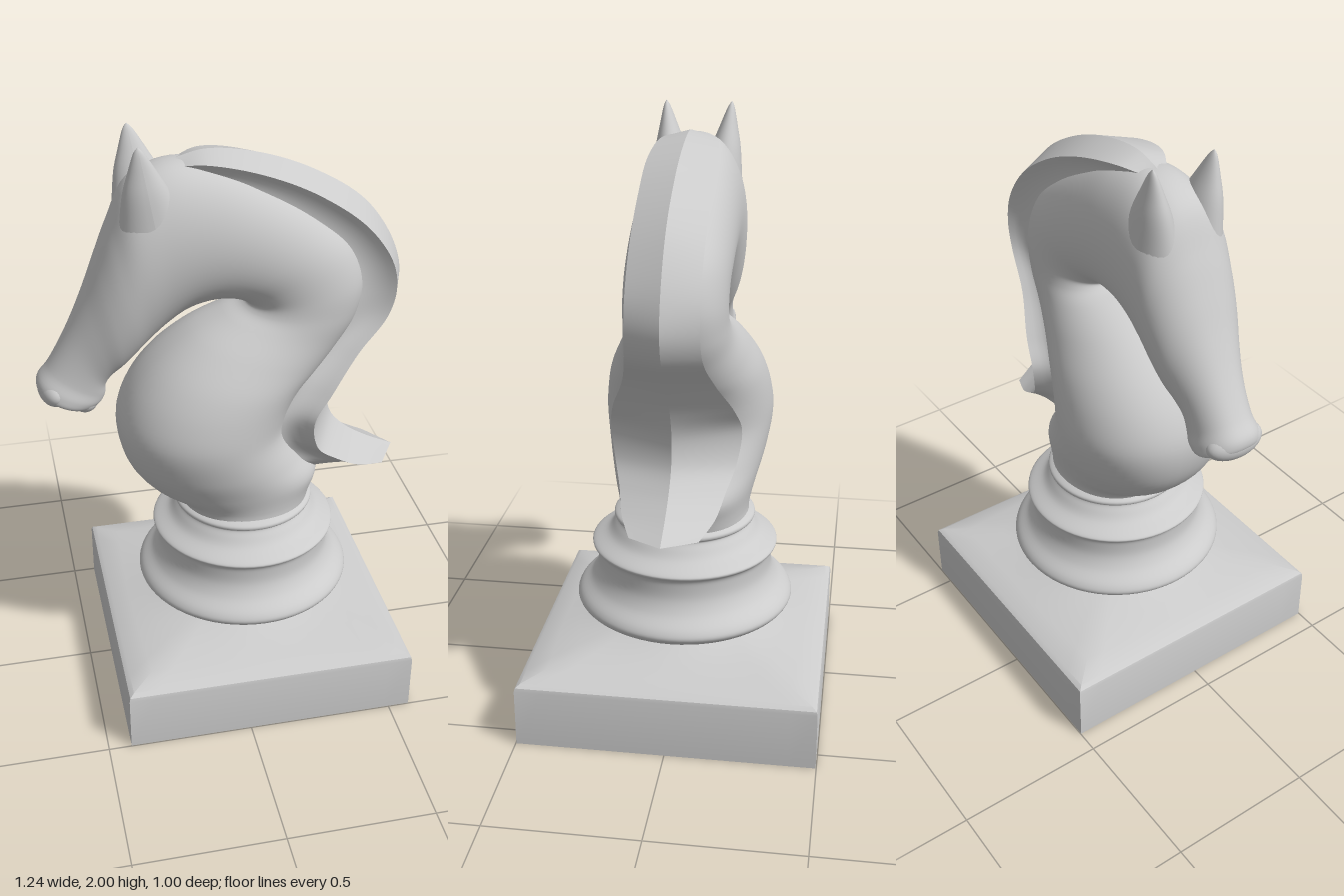
import * as THREE from 'three';
import { toCreasedNormals } from 'three/addons/utils/BufferGeometryUtils.js';

const V = (x, y, z = 0) => new THREE.Vector3(x, y, z);
const material = new THREE.MeshStandardMaterial({ color: 0xcccccc, roughness: 0.6 });
const thin = new THREE.MeshStandardMaterial({ color: 0xcccccc, roughness: 0.6, side: THREE.DoubleSide });
const AXIS = 0.076; // x of the pedestal axis

// Surface through rows of points; closed rows wrap around
function surface(rows, closed) {
  const n = rows[0].length, index = [];
  for (let u = 0; u < rows.length - 1; u++) {
    for (let v = 0; v < (closed ? n : n - 1); v++) {
      const w = (v + 1) % n;
      const a = u * n + v, b = a + n, c = u * n + w, d = c + n;
      index.push(a, b, c, c, b, d);
    }
  }
  const geo = new THREE.BufferGeometry().setFromPoints(rows.flat());
  geo.setIndex(index);
  geo.computeVertexNormals();
  return geo;
}

const curve = (points) => new THREE.CatmullRomCurve3(points);
const ramp = (n, f) => Array.from({ length: n + 1 }, (_, i) => f(i / n));

function add(group, name, geo, mat = material) {
  const mesh = new THREE.Mesh(geo, mat);
  mesh.name = name;
  group.add(mesh);
  return mesh;
}

// Square plinth whose sloping top turns into a circle: [y, radius, roundness]
function plinth() {
  const rings = [[0, 0, 0], [0, 0.498, 0], [0.2, 0.498, 0], [0.212, 0.495, 0], [0.222, 0.48, 0],
    [0.24, 0.42, 0.12], [0.258, 0.36, 0.4], [0.275, 0.305, 0.8], [0.29, 0.27, 1], [0.31, 0.265, 1]];
  const rows = rings.map(([y, r, k]) => Array.from({ length: 64 }, (_, i) => {
    const a = i / 64 * Math.PI * 2, c = Math.cos(a), s = Math.sin(a);
    const q = r * (k + (1 - k) / Math.max(Math.abs(c), Math.abs(s)));
    return V(AXIS + q * c, y, q * s);
  }));
  return toCreasedNormals(surface(rows, true), 0.55);
}

// Turned rings between the plinth and the bust
function pedestal() {
  const profile = [[0.265, 0.28], [0.275, 0.305], [0.335, 0.325], [0.372, 0.355], [0.365, 0.385],
    [0.325, 0.425], [0.303, 0.47], [0.3, 0.52], [0.305, 0.542], [0.318, 0.555], [0.312, 0.568],
    [0.265, 0.595], [0.24, 0.625], [0.228, 0.645], [0.24, 0.655], [0.24, 0.668], [0.222, 0.68], [0.2, 0.69]];
  const spline = new THREE.SplineCurve(profile.map(([r, y]) => new THREE.Vector2(r, y)));
  return new THREE.LatheGeometry(spline.getPoints(90), 64).translate(AXIS, 0, 0);
}

// Chest, neck and head: [throat x, throat y, back x, back y, half width]
function body() {
  const s = [
    [-0.14, 0.66, 0.295, 0.66, 0.222], [-0.165, 0.70, 0.31, 0.71, 0.222], [-0.265, 0.77, 0.33, 0.775, 0.238],
    [-0.335, 0.87, 0.27, 0.86, 0.265], [-0.36, 1.0, 0.21, 0.97, 0.285], [-0.33, 1.11, 0.225, 1.05, 0.278],
    [-0.25, 1.225, 0.265, 1.12, 0.255], [-0.12, 1.33, 0.325, 1.18, 0.215], [0.0, 1.385, 0.39, 1.26, 0.182],
    [0.06, 1.405, 0.45, 1.36, 0.168], [0.075, 1.42, 0.47, 1.48, 0.165], [0.05, 1.437, 0.425, 1.61, 0.165],
    [0.0, 1.45, 0.315, 1.715, 0.167], [-0.06, 1.445, 0.14, 1.83, 0.168], [-0.13, 1.42, -0.02, 1.9, 0.168],
    [-0.19, 1.375, -0.18, 1.915, 0.168], [-0.24, 1.33, -0.295, 1.86, 0.168], [-0.29, 1.28, -0.36, 1.73, 0.16],
    [-0.335, 1.235, -0.408, 1.61, 0.145], [-0.375, 1.20, -0.455, 1.49, 0.122], [-0.392, 1.17, -0.515, 1.36, 0.104],
    [-0.395, 1.135, -0.578, 1.25, 0.1], [-0.41, 1.11, -0.615, 1.2, 0.108], [-0.45, 1.095, -0.614, 1.165, 0.102],
    [-0.5, 1.115, -0.57, 1.14, 0.05], [-0.537, 1.13, -0.537, 1.13, 0.001]];
  const throat = curve(s.map((p) => V(p[0], p[1])));
  const back = curve(s.map((p) => V(p[2], p[3])));
  const width = curve(s.map((p, i) => V(i * 0.05, p[4])));
  const rows = ramp(150, (t) => {
    const i = throat.getPoint(t), o = back.getPoint(t), w = width.getPoint(t).y;
    return Array.from({ length: 56 }, (_, k) => {
      const a = k / 56 * Math.PI * 2, sin = Math.sin(a);
      const p = i.clone().lerp(o, 0.5 + 0.5 * Math.cos(a));
      p.z = w * Math.sign(sin) * Math.pow(Math.abs(sin), 0.88);
      return p;
    });
  });
  return surface(rows, true);
}

// Mane: [ridge x, y, edge x, y, half width, root x, y]
function mane(group) {
  const s = [
    [-0.16, 1.915, -0.16, 1.90, 0.03, -0.1, 1.82], [-0.05, 1.94, -0.06, 1.917, 0.085, -0.02, 1.79],
    [0.12, 1.915, 0.1, 1.885, 0.11, 0.08, 1.74], [0.3, 1.845, 0.28, 1.805, 0.112, 0.19, 1.66],
    [0.47, 1.73, 0.45, 1.68, 0.112, 0.3, 1.57], [0.572, 1.58, 0.54, 1.55, 0.112, 0.36, 1.49],
    [0.602, 1.46, 0.557, 1.45, 0.113, 0.375, 1.42], [0.577, 1.37, 0.53, 1.36, 0.118, 0.35, 1.34],
    [0.49, 1.265, 0.43, 1.25, 0.145, 0.27, 1.26], [0.405, 1.14, 0.33, 1.13, 0.195, 0.16, 1.14],
    [0.372, 1.04, 0.27, 1.04, 0.213, 0.1, 1.03], [0.385, 0.95, 0.29, 0.93, 0.197, 0.1, 0.95],
    [0.44, 0.885, 0.36, 0.865, 0.172, 0.13, 0.88], [0.515, 0.835, 0.45, 0.812, 0.15, 0.17, 0.83],
    [0.618, 0.785, 0.55, 0.78, 0.11, 0.2, 0.79]];
  const ridge = curve(s.map((p) => V(p[0], p[1])));
  const edge = curve(s.map((p) => V(p[2], p[3], p[4])));
  const root = curve(s.map((p) => V(p[5], p[6], p[4] * 0.93)));
  const flip = (p, side) => V(p.x, p.y, p.z * side);
  // Hollow groove from the edge to the root inside the neck
  const groove = (t, side) => {
    const e = edge.getPoint(t), r = root.getPoint(t);
    const mid = e.clone().lerp(r, 0.45);
    mid.z *= 0.5;
    return new THREE.QuadraticBezierCurve3(e, mid, r).getPoints(8).map((p) => flip(p, side));
  };
  for (const side of [1, -1]) {
    const label = side > 0 ? 'Front' : 'Rear';
    add(group, 'maneCrest' + label, surface(ramp(100, (t) => {
      const r = ridge.getPoint(t), e = flip(edge.getPoint(t), side);
      return [r, r.clone().lerp(e, 0.5), e];
    })), thin);
    add(group, 'maneGroove' + label, surface(ramp(100, (t) => groove(t, side))), thin);
  }
  // Underside of the flicked tip
  const front = [ridge.getPoint(1), ...groove(1, 1)], rear = [ridge.getPoint(1), ...groove(1, -1)];
  add(group, 'maneTip', surface([front, rear]), thin);
}

// Pointed ear rising out of the side of the head, leaning forward
function ear(side) {
  const profile = [[1, 0], [0.86, 0.2], [0.64, 0.5], [0.4, 0.72], [0.15, 0.93], [0, 1]];
  const spline = new THREE.SplineCurve(profile.map(([r, y]) => new THREE.Vector2(r, y)));
  const geo = new THREE.LatheGeometry(spline.getPoints(20), 32);
  const p = geo.attributes.position;
  for (let i = 0; i < p.count; i++) {
    const y = p.getY(i);
    p.setXYZ(i, -0.225 - 0.05 * y + p.getX(i) * 0.115, 1.7 + 0.3 * y,
      side * (0.076 + 0.034 * y) + p.getZ(i) * 0.078);
  }
  geo.computeVertexNormals();
  return geo;
}

export function createModel() {
  const group = new THREE.Group();
  group.name = 'knightChessPiece';
  add(group, 'plinth', plinth());
  add(group, 'pedestal', pedestal());
  add(group, 'horseBody', body());
  mane(group);
  for (const side of [1, -1]) add(group, side > 0 ? 'earFront' : 'earRear', ear(side));
  // Muzzle: upper and lower lip
  for (const [name, x, y, r, w] of [['upperLip', -0.56, 1.167, 0.056, 0.103], ['lowerLip', -0.467, 1.127, 0.053, 0.09]]) {
    const lip = add(group, name, new THREE.SphereGeometry(1, 32, 20));
    lip.position.set(x, y, 0);
    lip.scale.set(r, r, w);
  }
  return group;
}
